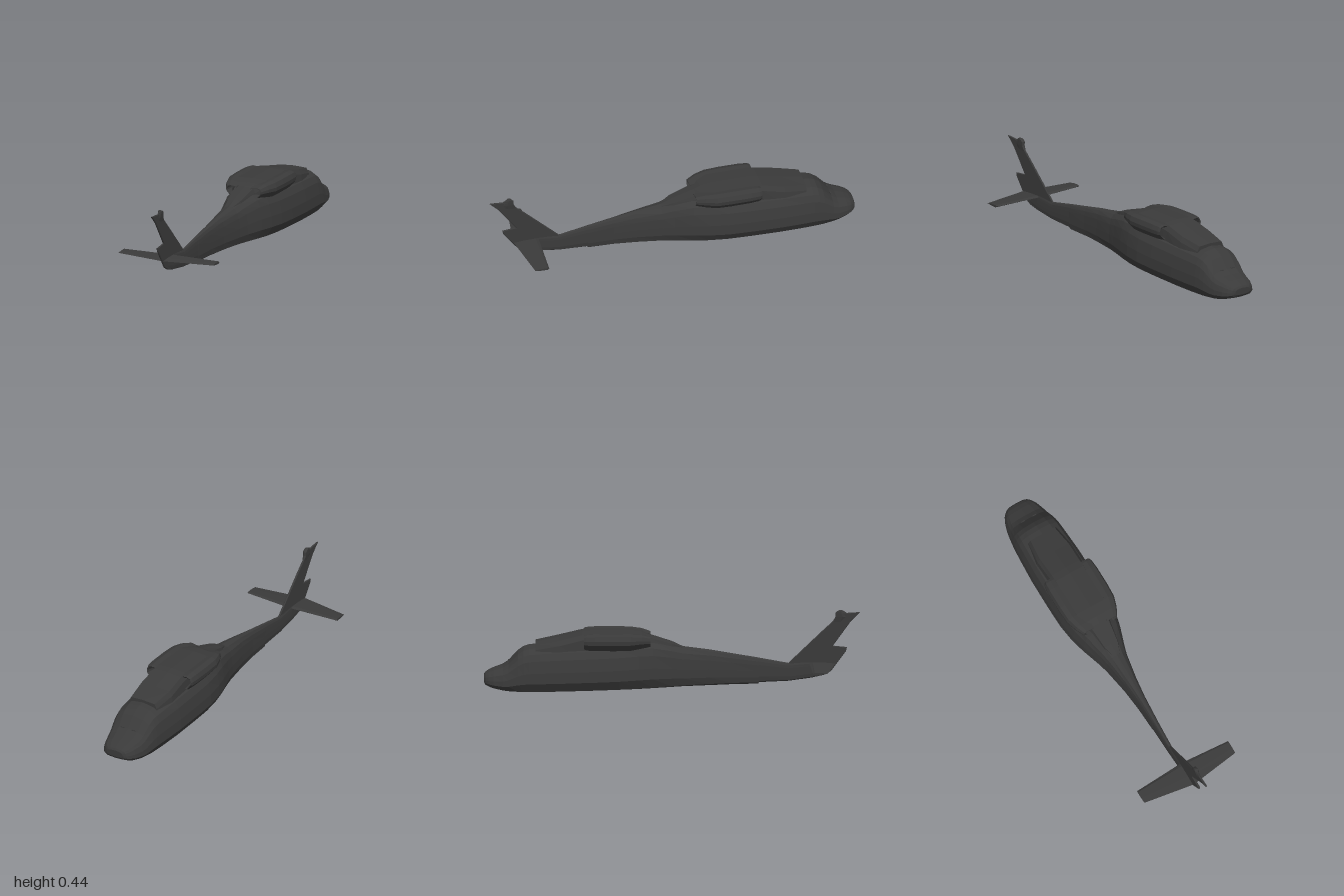
import * as THREE from 'three';

const material = new THREE.MeshStandardMaterial({ color: 0x3a3a3a, flatShading: true });

// Skin a list of closed rings (each counter-clockwise seen from the end of the loft) and cap both ends.
function loft(name, rings) {
  const n = rings[0].length, pos = rings.flat(2), index = [];
  for (let i = 0; i < rings.length - 1; i++) {
    for (let j = 0; j < n; j++) {
      const a = i * n + j, b = i * n + (j + 1) % n;
      index.push(a, b, b + n, a, b + n, a + n);
    }
  }
  const last = (rings.length - 1) * n;
  for (let j = 1; j < n - 1; j++) {
    index.push(0, j + 1, j, last, last + j, last + j + 1);
  }
  const g = new THREE.BufferGeometry();
  g.setAttribute('position', new THREE.Float32BufferAttribute(pos, 3));
  g.setIndex(index);
  const flat = g.toNonIndexed();
  flat.computeVertexNormals();
  return named(name, flat);
}

function named(name, geometry) {
  const mesh = new THREE.Mesh(geometry, material);
  mesh.name = name;
  return mesh;
}

// Half outline from bottom centre to top centre, completed by mirroring.
function symmetric(half, z) {
  const mirrored = half.slice(1, -1).reverse().map(([x, y]) => [-x, y]);
  return [...half, ...mirrored].map(([x, y]) => [x, y, z]);
}

// Flat fin outline given as [z, y], centred on x = 0.
function plate(name, outline, thickness, bevel) {
  const depth = thickness - 2 * bevel;
  const shape = new THREE.Shape(outline.map(([z, y]) => new THREE.Vector2(z, y)));
  const g = new THREE.ExtrudeGeometry(shape, {
    depth, bevelThickness: bevel, bevelSize: bevel, bevelOffset: -bevel, bevelSegments: 1,
  });
  g.translate(0, 0, -depth / 2);
  g.rotateY(-Math.PI / 2);
  return named(name, g);
}

export function createModel() {
  const model = new THREE.Group();
  model.name = 'helicopter';

  // Fuselage and tail boom: z, half width, bottom, top
  const hullShape = [[0, 0], [0.45, 0.025], [0.8, 0.065], [1, 0.25], [0.985, 0.47],
    [0.9, 0.72], [0.77, 0.86], [0.48, 0.96], [0, 1]];
  const hull = [
    [-1, 0.05, 0.053, 0.09], [-0.993, 0.068, 0.042, 0.1], [-0.975, 0.086, 0.033, 0.112],
    [-0.95, 0.1, 0.024, 0.124], [-0.9, 0.116, 0.013, 0.142], [-0.87, 0.122, 0.008, 0.162],
    [-0.82, 0.131, 0.002, 0.218], [-0.79, 0.135, 0, 0.24], [-0.76, 0.138, 0, 0.25],
    [-0.7, 0.142, 0, 0.256], [-0.58, 0.149, 0.003, 0.264], [-0.4, 0.15, 0.008, 0.272],
    [-0.28, 0.148, 0.012, 0.278], [-0.18, 0.135, 0.015, 0.285], [-0.1, 0.115, 0.018, 0.283],
    [0, 0.082, 0.022, 0.26], [0.06, 0.065, 0.025, 0.242], [0.2, 0.04, 0.03, 0.224],
    [0.32, 0.026, 0.035, 0.203], [0.458, 0.018, 0.038, 0.18], [0.462, 0.017, 0.046, 0.179],
    [0.62, 0.012, 0.053, 0.15], [0.74, 0.009, 0.07, 0.16], [0.83, 0.004, 0.098, 0.15],
  ];
  model.add(loft('fuselage', hull.map(([z, w, lo, hi]) =>
    symmetric(hullShape.map(([x, y]) => [x * w, lo + y * (hi - lo)]), z))));

  // Raised housing over the cabin: z, half width, top
  const housing = [
    [-0.725, 0.087, 0.268], [-0.6, 0.104, 0.293], [-0.48, 0.1, 0.322], [-0.44, 0.1, 0.328],
    [-0.22, 0.1, 0.328], [-0.16, 0.085, 0.319], [-0.125, 0.062, 0.304],
    [0, 0.045, 0.266], [0.06, 0.02, 0.241],
  ];
  model.add(loft('engineHousing', housing.map(([z, w, top]) => symmetric(
    [[0, 0.19], [w * 1.1, 0.19], [w, top - 0.03], [w * 0.85, top - 0.004], [0, top]], z))));

  // Engine pods with recessed intakes and exhausts: z, scale, centre x, centre y
  const podShape = [[0.04, 0.245], [0.085, 0.234], [0.117, 0.238], [0.147, 0.273],
    [0.149, 0.294], [0.139, 0.319], [0.112, 0.328], [0.04, 0.318]];
  const pod = [
    [-0.42, 0.5, 0.1, 0.28], [-0.462, 0.66, 0.1, 0.28], [-0.468, 0.8, 0.096, 0.282],
    [-0.455, 0.92, 0.095, 0.281], [-0.41, 0.99, 0.095, 0.281], [-0.3, 1, 0.095, 0.281],
    [-0.22, 0.97, 0.093, 0.281], [-0.16, 0.8, 0.083, 0.283], [-0.115, 0.58, 0.072, 0.28],
    [-0.115, 0.5, 0.072, 0.28], [-0.17, 0.35, 0.078, 0.281],
  ];
  for (const side of [1, -1]) {
    const rings = pod.map(([z, s, cx, cy]) => {
      const ring = podShape.map(([x, y]) => [side * (cx + (x - 0.095) * s), cy + (y - 0.281) * s, z]);
      return side > 0 ? ring : ring.reverse();
    });
    model.add(loft(side > 0 ? 'leftEnginePod' : 'rightEnginePod', rings));

    // Windscreen wiper base
    const wiper = named('wiper', new THREE.BoxGeometry(0.022, 0.004, 0.005));
    wiper.position.set(side * 0.035, 0.161, -0.87);
    model.add(wiper);
  }

  // Swept tail fin with lower trailing flap
  model.add(plate('tailFin', [
    [0.6, 0.13], [0.6, 0.06], [0.74, 0.07], [0.81, 0.086], [0.845, 0.106], [0.925, 0.215],
    [0.93, 0.235], [0.855, 0.243], [0.95, 0.375], [0.98, 0.405], [1, 0.425], [0.92, 0.42],
    [0.87, 0.4], [0.865, 0.385], [0.8, 0.325], [0.62, 0.152],
  ], 0.01, 0.003));

  // Gearbox fairing flaring out at the fin tip: y, half width, front z, rear z
  const gearbox = [
    [0.365, 0.004, 0.85, 0.93], [0.4, 0.009, 0.868, 0.945],
    [0.42, 0.01, 0.868, 0.93], [0.43, 0.01, 0.878, 0.915], [0.435, 0.008, 0.888, 0.906],
  ];
  model.add(loft('tailGearbox', gearbox.map(([y, w, z0, z1]) => {
    const mid = (z0 + z1) / 2;
    return [[0, y, z1], [w, y, mid], [w, y, z0 + 0.004], [0, y, z0], [-w, y, z0 + 0.004], [-w, y, mid]];
  })));

  // Tapered tailplane, lofted from right tip to left tip: x, leading z, trailing z
  const tailplane = [[-0.28, 0.748, 0.825], [0, 0.73, 0.868], [0.28, 0.748, 0.825]];
  const airfoil = [[0, 0.147], [0.12, 0.153], [0.6, 0.152], [1, 0.147], [0.6, 0.142], [0.12, 0.141]];
  model.add(loft('tailplane', tailplane.map(([x, z0, z1]) =>
    airfoil.map(([t, y]) => [x, y, z0 + t * (z1 - z0)]))));

  return model;
}
